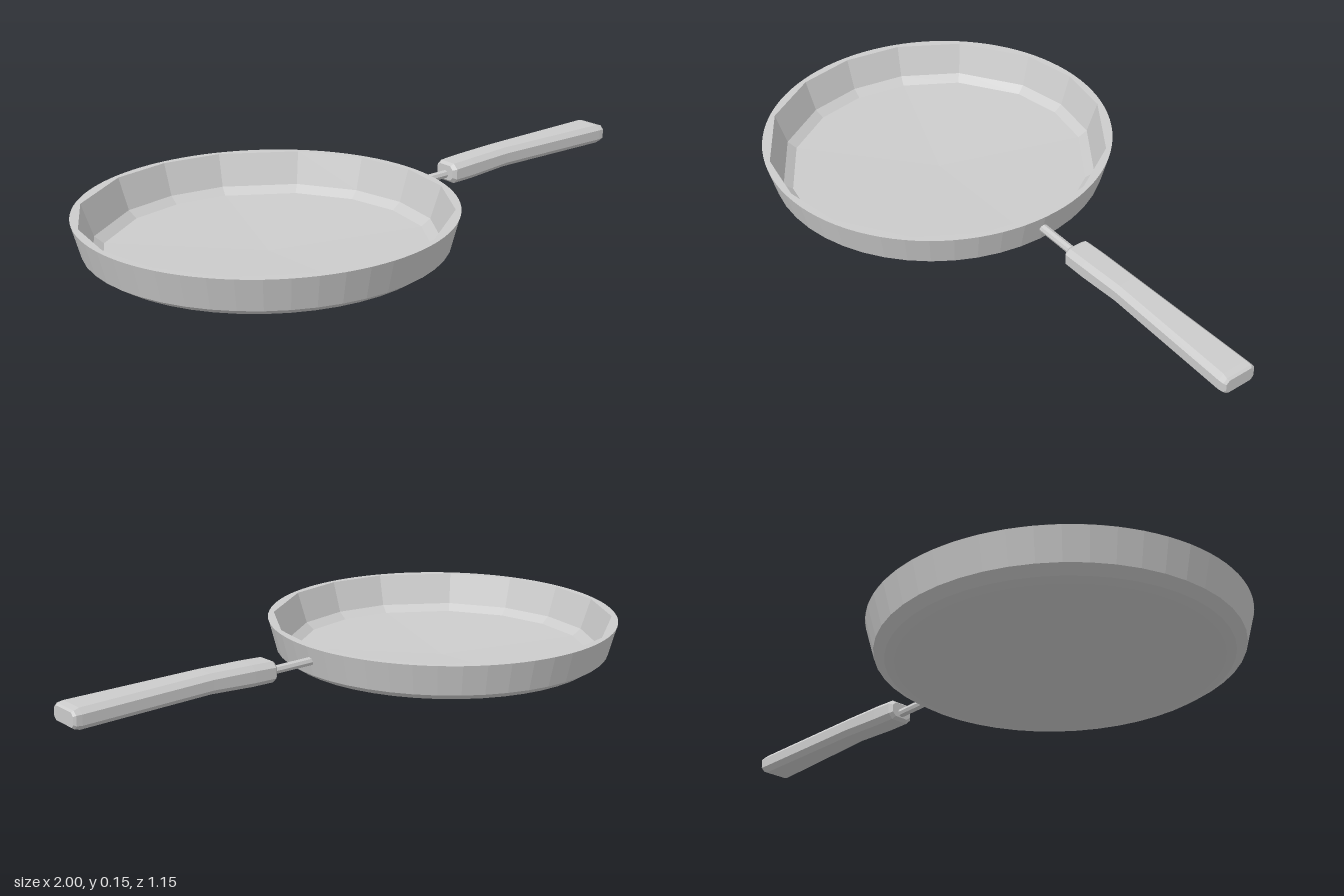
import * as THREE from 'three';

const material = new THREE.MeshStandardMaterial({ color: 0xcccccc, flatShading: true, side: THREE.DoubleSide });

function part(name, geometry, x = 0, y = 0, z = 0) {
  const mesh = new THREE.Mesh(geometry, material);
  mesh.name = name;
  mesh.position.set(x, y, z);
  return mesh;
}

// Skin a list of equally sized closed rings; optionally cap both ends.
function loft(rings, capped = false) {
  const n = rings[0].length;
  const points = rings.flat();
  const index = [];
  for (let i = 0; i < rings.length - 1; i++) {
    for (let j = 0; j < n; j++) {
      const a = i * n + j, b = i * n + (j + 1) % n;
      index.push(a, b, a + n, b, b + n, a + n);
    }
  }
  if (capped) {
    const last = (rings.length - 1) * n;
    for (let j = 1; j < n - 1; j++) {
      index.push(0, j + 1, j, last, last + j, last + j + 1);
    }
  }
  const geometry = new THREE.BufferGeometry();
  geometry.setAttribute('position', new THREE.Float32BufferAttribute(points.flat(), 3));
  geometry.setIndex(index);
  const flat = geometry.toNonIndexed();
  flat.computeVertexNormals();
  return flat;
}

// Slightly uneven facet corners, repeated in mirrored quadrants.
const corners = [0, 20, 43, 70, 90, 110, 137, 160, 180, 200, 223, 250, 270, 290, 317, 340]
  .map(THREE.MathUtils.degToRad);

const ring = (r, y) => corners.map(a => [r * Math.cos(a), y, -r * Math.sin(a)]);

// Chamfered rectangular section across the handle.
function section(x, y0, y1, w, c) {
  return [
    [x, y0, -w + c], [x, y0 + c, -w], [x, y1 - c, -w], [x, y1, -w + c],
    [x, y1, w - c], [x, y1 - c, w], [x, y0 + c, w], [x, y0, w - c],
  ].reverse();
}

export function createModel() {
  const model = new THREE.Group();
  model.name = 'fryingPan';
  const cx = -0.425;

  // Outer shell with a shallow convex base
  const outer = [[0, 0.003], [0.485, 0.02], [0.515, 0.028], [0.548, 0.05], [0.574, 0.15]]
    .map(p => new THREE.Vector2(...p));
  model.add(part('outerShell', new THREE.LatheGeometry(outer, 48), cx));

  // Faceted inner wall, bevel and floor
  const inner = loft([ring(0.557, 0.15), ring(0.522, 0.048), ring(0.493, 0.026), ring(0, 0.012)]);
  model.add(part('innerPan', inner, cx));

  // Flat rim between the round outside and the faceted inside
  const rim = new THREE.Shape().absarc(0, 0, 0.574, 0, Math.PI * 2);
  rim.holes.push(new THREE.Path(corners.map(a =>
    new THREE.Vector2(0.557 * Math.cos(a), 0.557 * Math.sin(a)))));
  const rimGeometry = new THREE.ShapeGeometry(rim, 48).rotateX(-Math.PI / 2);
  model.add(part('rim', rimGeometry, cx, 0.15));

  // Thin rod joining the pan and the grip
  const rod = new THREE.CylinderGeometry(0.014, 0.014, 0.18, 8).rotateZ(Math.PI / 2);
  model.add(part('handleRod', rod, 0.22, 0.1));

  // Faceted grip, widening toward its end
  model.add(part('handleGrip', loft([
    section(0.292, 0.083, 0.132, 0.036, 0.012),
    section(0.303, 0.074, 0.14, 0.046, 0.016),
    section(0.38, 0.076, 0.144, 0.047, 0.016),
    section(0.53, 0.085, 0.149, 0.046, 0.016),
    section(0.975, 0.083, 0.147, 0.058, 0.016),
    section(0.993, 0.089, 0.143, 0.057, 0.012),
    section(1.0, 0.094, 0.138, 0.051, 0.01),
  ], true)));

  return model;
}
